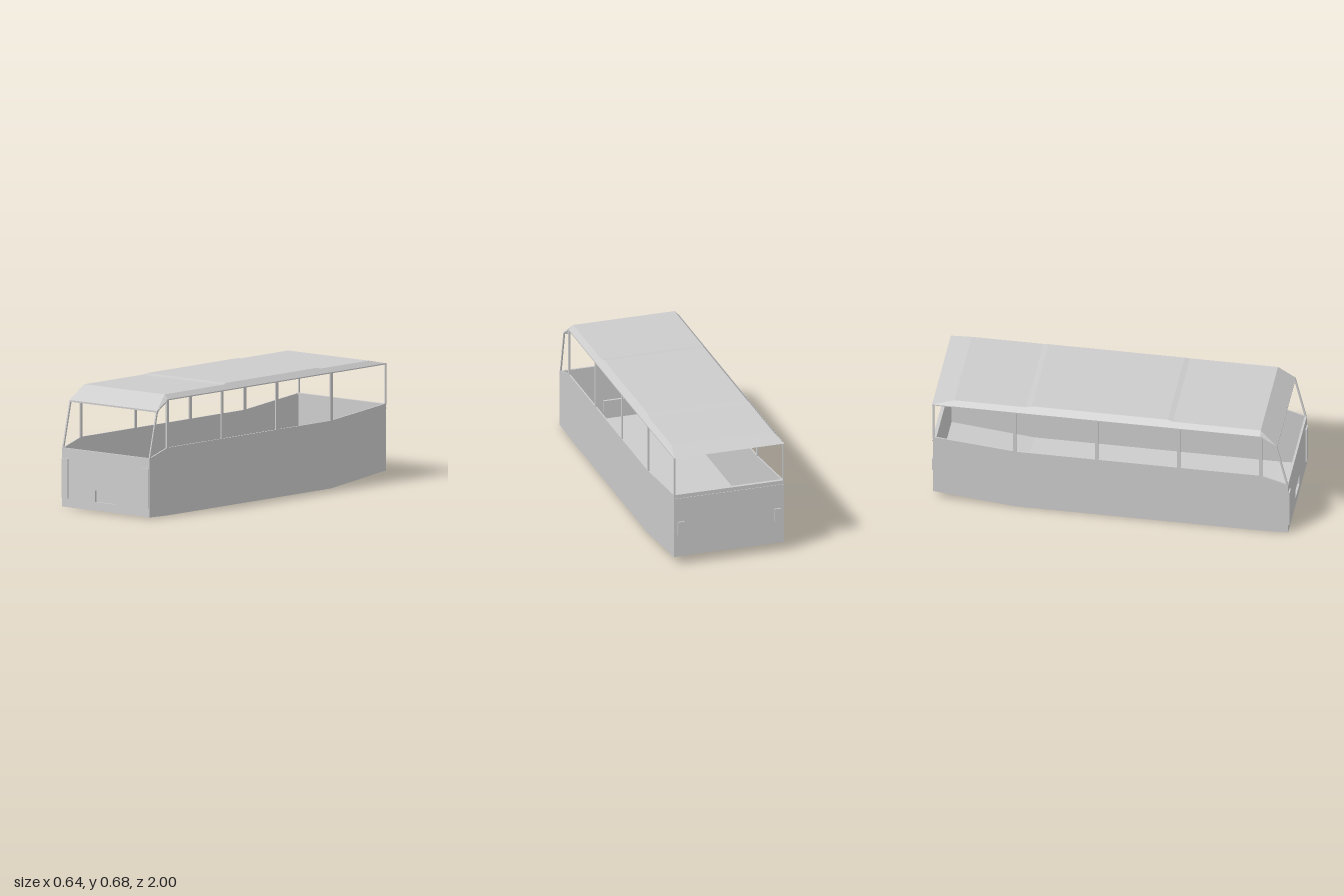
import * as THREE from 'three';

const W = 0.32, FRONT = 0.992, BACK = -0.992;
const material = new THREE.MeshStandardMaterial({ color: 0xcccccc, flatShading: true, side: THREE.DoubleSide });

function mesh(name, geometry) {
  const m = new THREE.Mesh(geometry, material);
  m.name = name;
  return m;
}

// Open skin through cross-sections; each section is a list of [x, y, z]
function skin(sections) {
  const pos = [];
  const tri = (...pts) => {
    const [a, b, c] = pts.map(p => new THREE.Vector3(...p));
    if (b.clone().sub(a).cross(c.clone().sub(a)).length() > 1e-7) pts.forEach(p => pos.push(...p));
  };
  for (let i = 0; i < sections.length - 1; i++) {
    const s = sections[i], t = sections[i + 1];
    for (let j = 0; j < s.length - 1; j++) {
      tri(s[j], s[j + 1], t[j + 1]);
      tri(s[j], t[j + 1], t[j]);
    }
  }
  const g = new THREE.BufferGeometry();
  g.setAttribute('position', new THREE.Float32BufferAttribute(pos, 3));
  g.computeVertexNormals();
  return g;
}

// Axis-aligned box given by its limits
function block(name, x0, x1, y0, y1, z0, z1) {
  const m = mesh(name, new THREE.BoxGeometry(x1 - x0, y1 - y0, z1 - z0));
  m.position.set((x0 + x1) / 2, (y0 + y1) / 2, (z0 + z1) / 2);
  return m;
}

// Square bar in a plane of constant x, from [y, z] to [y, z]
function bar(name, x, [y0, z0], [y1, z1], wide, deep) {
  const m = mesh(name, new THREE.BoxGeometry(wide, Math.hypot(y1 - y0, z1 - z0), deep));
  m.position.set(x, (y0 + y1) / 2, (z0 + z1) / 2);
  m.rotation.x = Math.atan2(z1 - z0, y1 - y0);
  return m;
}

// Flat upright panel, optionally with a rectangular hole
function panel(name, y0, y1, z, hole) {
  const rect = (s, a, b, c, d) => s.moveTo(a, c).lineTo(b, c).lineTo(b, d).lineTo(a, d).closePath();
  const shape = rect(new THREE.Shape(), -W, W, y0, y1);
  if (hole) shape.holes.push(rect(new THREE.Path(), ...hole));
  const m = mesh(name, new THREE.ShapeGeometry(shape));
  m.position.z = z;
  return m;
}

export function createModel() {
  const group = new THREE.Group();

  // Hull: floor and side walls, [z, bottom, top]
  const hull = [[FRONT, 0.005, 0.33], [0.84, 0, 0.375], [-0.53, 0, 0.375], [BACK, 0.05, 0.42]];
  group.add(mesh('hull', skin(hull.map(([z, b, t]) => [[-W, t, z], [-W, b, z], [W, b, z], [W, t, z]]))));

  // End panels, the front one with a recessed plate
  const plate = [-0.077, 0.067, 0.053, 0.117];
  group.add(panel('frontPanel', 0.005, 0.33, FRONT, plate));
  const [px0, px1, py0, py1] = plate;
  const rim = z => [[px0, py0, z], [px1, py0, z], [px1, py1, z], [px0, py1, z], [px0, py0, z]];
  group.add(mesh('plateRecess', skin([rim(FRONT), rim(FRONT - 0.012)])));
  group.add(block('plate', px0, px1, py0, py1, FRONT - 0.014, FRONT - 0.012));
  group.add(panel('backPanel', 0.05, 0.42, BACK));

  // Sills across both ends
  group.add(block('frontSill', -W, W, 0.325, 0.333, FRONT - 0.012, FRONT));
  group.add(block('backSill', -W, W, 0.414, 0.422, BACK, BACK + 0.02));
  group.add(block('backRail', -W, W, 0.395, 0.4, BACK - 0.003, BACK));

  // Lamps on both ends
  for (const [x0, x1] of [[-0.318, -0.274], [0.27, 0.314]])
    group.add(block('frontLamp', x0, x1, 0.055, 0.275, FRONT, 1));
  for (const [x0, x1] of [[-0.303, -0.264], [0.26, 0.299]])
    group.add(block('backLamp', x0, x1, 0.18, 0.258, -1, BACK));

  // Roof: [z, edge height, half width of the top, top height]
  const roof = [
    [0.93, 0.59, W, 0.59], [0.835, 0.645, 0.294, 0.671], [0.345, 0.645, 0.294, 0.671],
    [0.315, 0.645, 0.288, 0.677], [-0.445, 0.645, 0.288, 0.677], [-0.475, 0.645, 0.294, 0.671],
    [-0.875, 0.645, 0.294, 0.671], [-0.996, 0.645, W, 0.645],
  ];
  group.add(mesh('roof', skin(roof.map(([z, e, w, t]) => [[-W, e, z], [-w, t, z], [w, t, z], [W, e, z]]))));
  group.add(block('windscreenHeader', -W, W, 0.582, 0.591, 0.918, 0.93));

  // Frame on each side: posts, pillars and rails
  for (const side of [-1, 1]) {
    const x = side * (W - 0.004);
    for (const z of [0.838, 0.38, -0.078, -0.535])
      group.add(bar('sidePost', x, [0.372, z], [0.645, z], 0.008, 0.018));
    group.add(bar('backPost', x, [0.415, BACK + 0.003], [0.645, BACK + 0.003], 0.008, 0.008));
    group.add(bar('windscreenPillar', x, [0.328, FRONT - 0.005], [0.588, 0.925], 0.008, 0.01));
    group.add(bar('roofCornerRail', x, [0.588, 0.926], [0.643, 0.835], 0.008, 0.007));
    group.add(bar('roofRail', x, [0.643, 0.84], [0.643, -0.995], 0.008, 0.006));
    for (let i = 0; i < hull.length - 1; i++)
      group.add(bar('sideRail', x, [hull[i][2] - 0.001, hull[i][0]], [hull[i + 1][2] - 0.001, hull[i + 1][0]], 0.008, 0.006));
  }
  return group;
}
